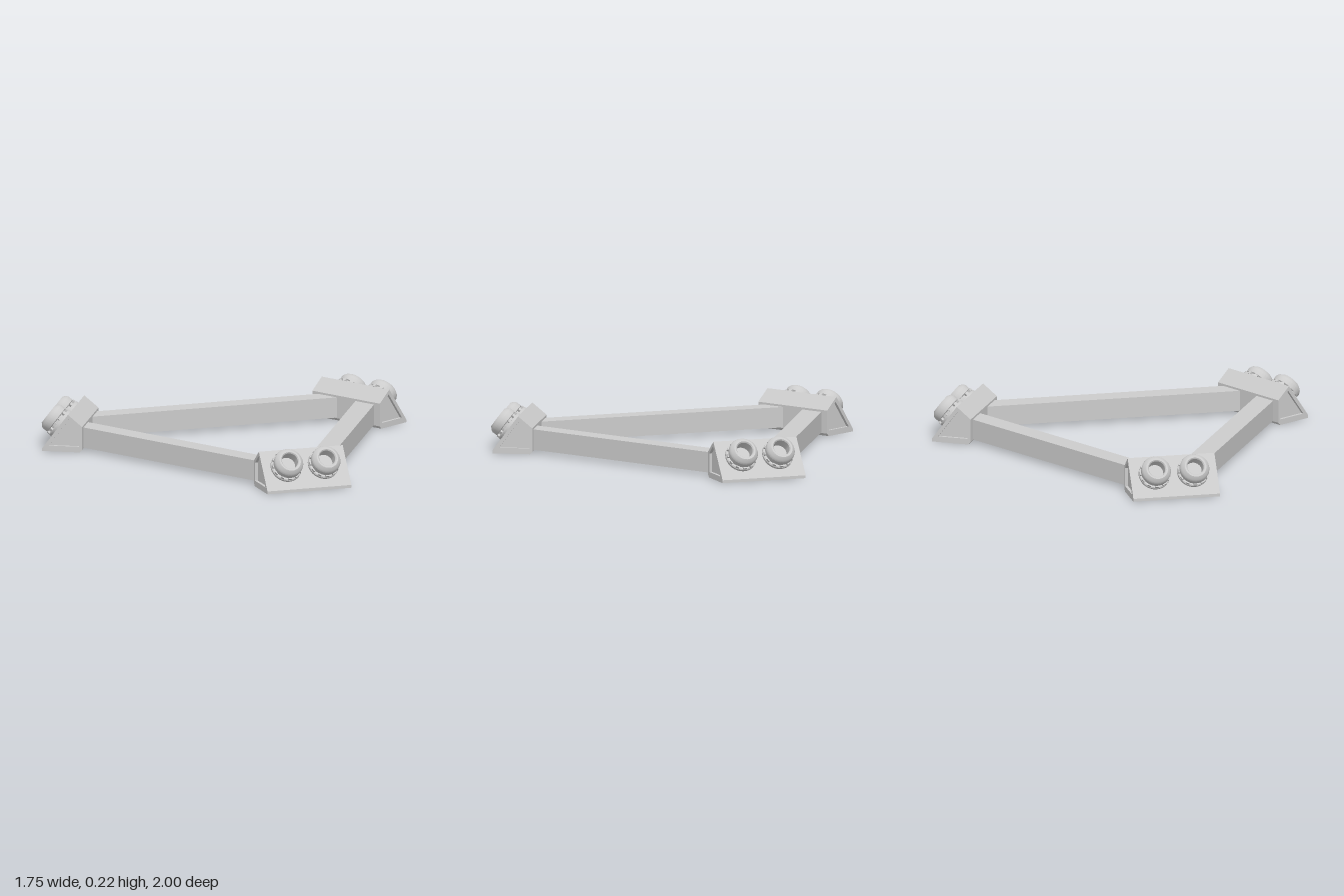
import * as THREE from 'three';
import { toCreasedNormals } from 'three/addons/utils/BufferGeometryUtils.js';

const CENTRE_X = -0.175; // centre of the triangle
const SLOPE = 0.932; // tilt of the sockets away from vertical
const WIDTH = 0.46;
const RECESS = 0.015;
const grey = new THREE.MeshStandardMaterial({ color: 0xcccccc });

const points = (list) => list.map(([x, y]) => new THREE.Vector2(x, y));

function mesh(name, geometry) {
  const m = new THREE.Mesh(geometry, grey);
  m.name = name;
  return m;
}

// Extrude centred on z
function extrude(shape, depth) {
  return new THREE.ExtrudeGeometry(shape, { depth, bevelEnabled: false }).translate(0, 0, -depth / 2);
}

// Wedge block with a sunk panel in each end
function createBlock() {
  const block = new THREE.Group();
  block.name = 'cornerBlock';
  const profile = points([
    [0.822, 0], [1.02, 0], [1.02, 0.015], [0.885, 0.197], [0.81, 0.135], [0.81, 0.014],
  ]);
  block.add(mesh('blockBody', extrude(new THREE.Shape(profile), WIDTH - 2 * RECESS)));

  const frame = new THREE.Shape(profile);
  frame.holes.push(new THREE.Path(points([
    [0.826, 0.03], [0.826, 0.127], [0.88, 0.172], [0.986, 0.03],
  ])));
  for (const side of [-1, 1]) {
    const rim = mesh('endFrame', extrude(frame, RECESS));
    rim.position.z = side * (WIDTH - RECESS) / 2;
    block.add(rim);
  }
  return block;
}

// Hollow round socket with a ring of small lugs
function createSocket() {
  const socket = new THREE.Group();
  socket.name = 'socket';
  const profile = points([
    [0.083, -0.005], [0.083, 0.013], [0.078, 0.018], [0.068, 0.018], [0.068, 0.03],
    [0.076, 0.034], [0.077, 0.06], [0.071, 0.073], [0.057, 0.085],
    [0.048, 0.085], [0.043, 0.079], [0.043, 0.025], [0, 0.025],
  ]);
  socket.add(mesh('socketBody', toCreasedNormals(new THREE.LatheGeometry(profile, 32), 0.5)));
  const count = 12;
  for (let i = 0; i < count; i++) {
    const a = (i / count) * Math.PI * 2;
    const lug = mesh('lug', new THREE.BoxGeometry(0.014, 0.014, 0.018));
    lug.position.set(Math.cos(a) * 0.074, 0.024, Math.sin(a) * 0.074);
    lug.rotation.y = -a;
    socket.add(lug);
  }
  return socket;
}

export function createModel() {
  const model = new THREE.Group();
  model.name = 'triangularFrame';

  // Three identical corners, each with the beam on the opposite side
  for (let i = 0; i < 3; i++) {
    const arm = new THREE.Group();
    arm.name = 'frameSection';
    arm.position.x = CENTRE_X;
    arm.rotation.y = (i * Math.PI * 2) / 3;

    arm.add(createBlock());
    for (const side of [-1, 1]) {
      const socket = createSocket();
      socket.position.set(0.943, 0.117, side * 0.102);
      socket.rotation.z = -SLOPE;
      arm.add(socket);
    }

    const beam = mesh('beam', new THREE.BoxGeometry(0.11, 0.107, 1.4));
    beam.position.set(-0.515, 0.071, 0);
    arm.add(beam);
    model.add(arm);
  }
  return model;
}
